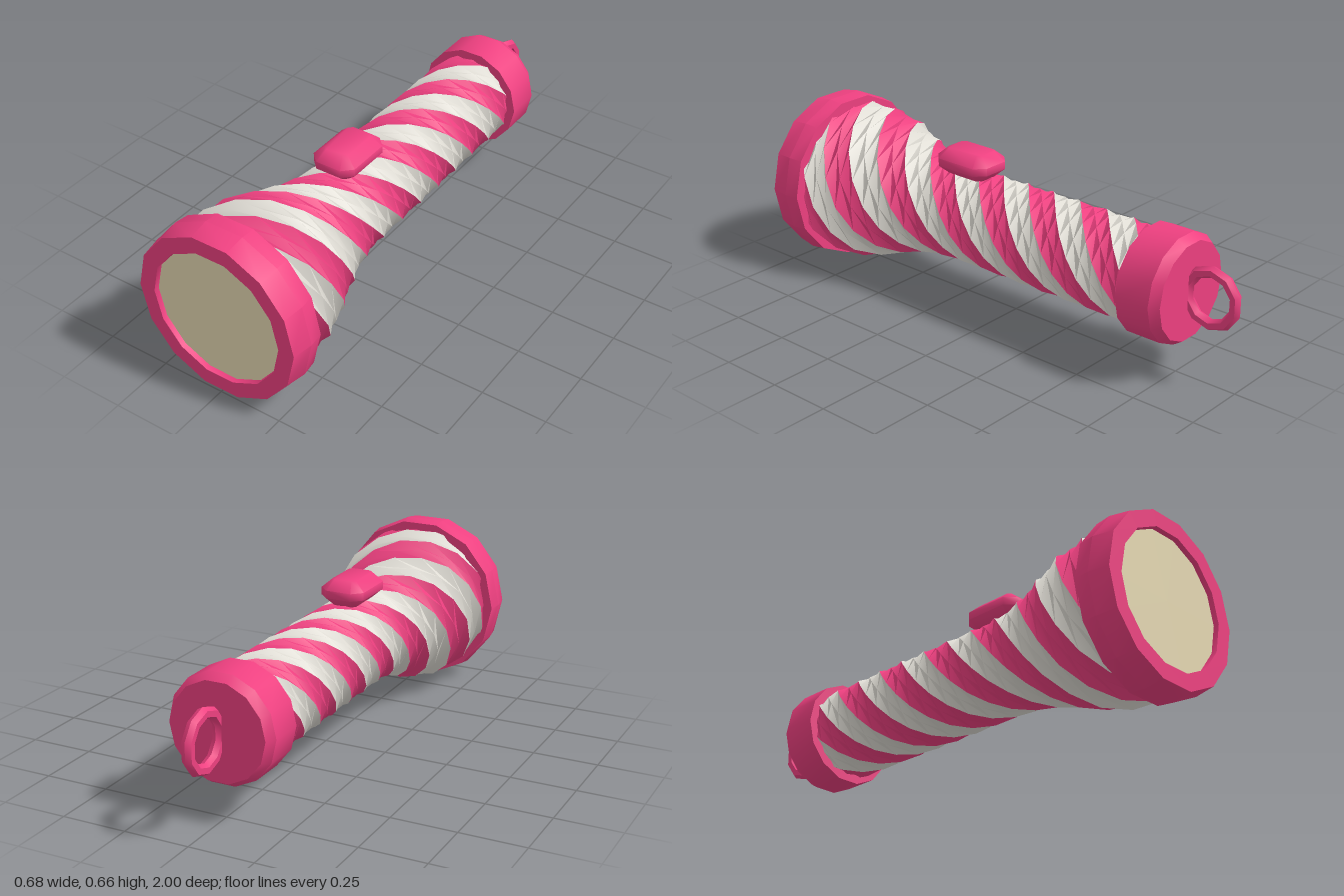
import * as THREE from 'three';
import { toCreasedNormals } from 'three/addons/utils/BufferGeometryUtils.js';

const AXIS_Y = 0.332;
const SIDES = 14;
const pink = new THREE.MeshStandardMaterial({ color: 0xee4080 });
const white = new THREE.MeshStandardMaterial({ color: 0xe0ddd5 });
const cream = new THREE.MeshStandardMaterial({ color: 0xe6d9b3 });

// Turned part lying along z; profile points are [radius, z], running from back to front
function turned(name, profile, material) {
  const points = profile.map(([r, z]) => new THREE.Vector2(r, z));
  const lathe = new THREE.LatheGeometry(points, SIDES, Math.PI / 2).rotateX(Math.PI / 2);
  const mesh = new THREE.Mesh(toCreasedNormals(lathe, 0.5), material);
  mesh.name = name;
  mesh.position.y = AXIS_Y;
  return mesh;
}

// Radius of the body: straight handle flaring into the head
const BODY = [[-0.66, 0.183], [0.25, 0.183], [0.36, 0.193], [0.47, 0.22],
  [0.58, 0.26], [0.68, 0.298], [0.77, 0.314], [0.9, 0.31]];
function bodyRadius(z) {
  for (let i = 1; i < BODY.length; i++) {
    const [z0, r0] = BODY[i - 1], [z1, r1] = BODY[i];
    if (z <= z1) return THREE.MathUtils.lerp(r0, r1, (z - z0) / (z1 - z0));
  }
  return BODY[BODY.length - 1][1];
}

// One colour of the spiral wrap: four twisted strips, each two facets wide
function spiral(name, first, material) {
  const rows = 28, z0 = -0.66, z1 = 0.9, twist = 6.36;
  const phase = THREE.MathUtils.degToRad(85 - 22.5) - twist * 0.85;
  const positions = [], index = [];
  for (let s = 0; s < 4; s++) {
    const base = positions.length / 3;
    for (let j = 0; j <= rows; j++) {
      const z = THREE.MathUtils.lerp(z0, z1, j / rows);
      for (let i = 0; i < 3; i++) {
        const a = phase + twist * z + (2 * s + first + i / 2) * Math.PI / 4;
        const r = bodyRadius(z) * (i === 1 ? 0.965 : 1);
        positions.push(r * Math.cos(a), r * Math.sin(a), z);
      }
    }
    for (let j = 0; j < rows; j++) {
      for (let i = 0; i < 2; i++) {
        const a = base + j * 3 + i, b = a + 1, c = b + 3, d = a + 3;
        index.push(a, b, c, a, c, d);
      }
    }
  }
  const geometry = new THREE.BufferGeometry();
  geometry.setAttribute('position', new THREE.Float32BufferAttribute(positions, 3));
  geometry.setIndex(index);
  const mesh = new THREE.Mesh(toCreasedNormals(geometry, 0.6), material);
  mesh.name = name;
  mesh.position.y = AXIS_Y;
  return mesh;
}

// Thumb switch: bevelled block with clipped corners
function thumbSwitch() {
  const w = 0.049, l = 0.084, c = 0.014;
  const shape = new THREE.Shape([[w, -l + c], [w, l - c], [w - c, l], [-w + c, l],
    [-w, l - c], [-w, -l + c], [-w + c, -l], [w - c, -l]].map(p => new THREE.Vector2(...p)));
  const geometry = new THREE.ExtrudeGeometry(shape, {
    depth: 0.03, bevelThickness: 0.036, bevelSize: 0.04, bevelSegments: 1,
  }).rotateX(-Math.PI / 2);
  const mesh = new THREE.Mesh(toCreasedNormals(geometry, 0.85), pink);
  mesh.name = 'thumbSwitch';
  mesh.position.set(0, 0.538, 0.224);
  return mesh;
}

// Hanging loop standing upright behind the tail cap
function hangingLoop() {
  const geometry = new THREE.TorusGeometry(0.1, 0.022, 6, 10)
    .rotateZ(Math.PI / 10).rotateY(Math.PI / 2);
  const mesh = new THREE.Mesh(toCreasedNormals(geometry, 0.7), pink);
  mesh.name = 'hangingLoop';
  mesh.position.set(0, AXIS_Y, -0.884);
  return mesh;
}

export function createModel() {
  const group = new THREE.Group();
  group.name = 'flashlight';
  group.add(
    turned('headRing', [[0, 0.86], [0.333, 0.86], [0.34, 0.92], [0.327, 1], [0.264, 1], [0.262, 0.975]], pink),
    turned('lens', [[0.264, 0.98], [0, 0.98]], cream),
    turned('tailCap', [[0, -0.8], [0.185, -0.8], [0.207, -0.765], [0.207, -0.625], [0, -0.625]], pink),
    spiral('pinkStripes', 0, pink),
    spiral('whiteStripes', 1, white),
    thumbSwitch(),
    hangingLoop(),
  );
  return group;
}
